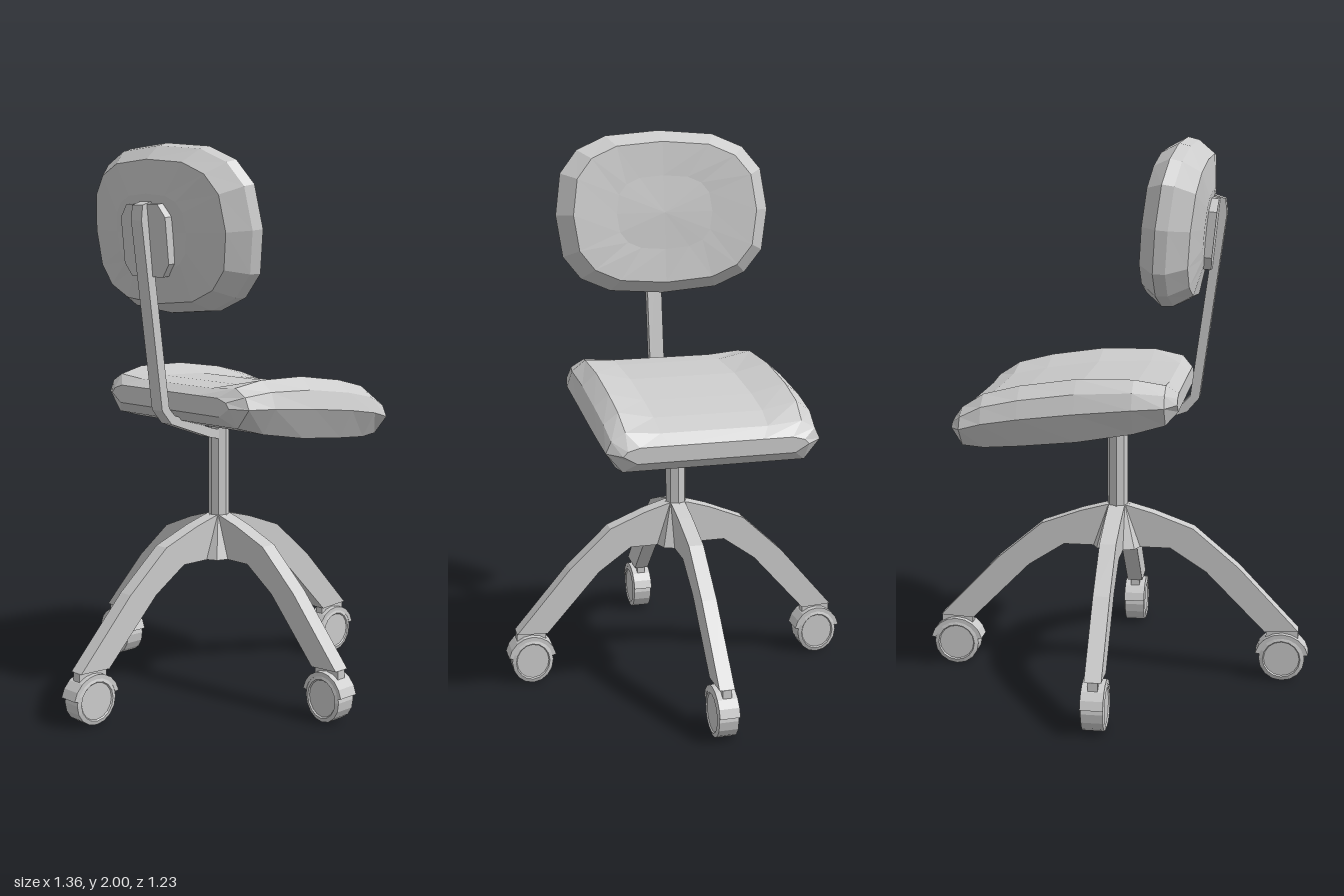
import * as THREE from 'three';

const material = new THREE.MeshStandardMaterial({ color: 0xcccccc, flatShading: true });

function add(parent, name, geometry, x = 0, y = 0, z = 0) {
  const mesh = new THREE.Mesh(geometry, material);
  mesh.name = name;
  mesh.position.set(x, y, z);
  parent.add(mesh);
  return mesh;
}

// Outline in x/y, given a thickness centred on z = 0
function slab(points, width) {
  const shape = new THREE.Shape(points.map(([x, y]) => new THREE.Vector2(x, y)));
  const geometry = new THREE.ExtrudeGeometry(shape, { depth: width, bevelEnabled: false });
  return geometry.translate(0, 0, -width / 2);
}

// Skin over equal-length closed cross-sections, each end closed by a fan
function loft(sections) {
  const n = sections[0].length;
  const points = sections.flat();
  const last = points.length - n;
  const centre = (s) => [0, 1, 2].map((k) => s.reduce((sum, p) => sum + p[k], 0) / n);
  const start = points.push(centre(sections[0])) - 1;
  const end = points.push(centre(sections[sections.length - 1])) - 1;
  const index = [];
  for (let i = 0; i < n; i++) {
    const j = (i + 1) % n;
    for (let r = 0; r < last; r += n) {
      index.push(r + i, r + n + i, r + j, r + j, r + n + i, r + n + j);
    }
    index.push(start, i, j, end, last + j, last + i);
  }
  const geometry = new THREE.BufferGeometry();
  geometry.setAttribute('position', new THREE.Float32BufferAttribute(points.flat(), 3));
  geometry.setIndex(index);
  geometry.computeVertexNormals();
  return geometry;
}

// Backrest pad: rounded rings [height, scale] stacked along y, wrapped forward at both sides
function backCushion(halfX, halfZ, bend, rings, segments = 16) {
  const round = (v) => Math.sign(v) * Math.abs(v) ** (2 / 2.8);
  return loft(rings.map(([height, scale]) => Array.from({ length: segments }, (_, i) => {
    const a = (i / segments) * Math.PI * 2;
    const z = scale * round(Math.sin(a));
    return [halfX * scale * round(Math.cos(a)), height + bend * z * z, halfZ * z];
  })));
}

// Seat pad: stations [x, half width, top, bottom, dip] from rear to front, with raised sides
function seatCushion(stations) {
  return loft(stations.map(([x, w, top, bottom, dip]) => {
    const mid = (top + bottom) / 2;
    const half = [[0.85, bottom], [1, mid], [0.95, mid + (top - mid) * 0.6], [0.82, top], [0.5, top - dip]];
    return [
      ...half.map(([s, y]) => [x, y, s * w]),
      ...half.map(([s, y]) => [x, y, -s * w]).reverse(),
    ];
  }));
}

// Bent flat bar of constant thickness following a path in x/y
function bar(path, thickness, width) {
  const sides = [[], []];
  path.forEach(([x, y], i) => {
    const a = path[Math.max(i - 1, 0)], b = path[Math.min(i + 1, path.length - 1)];
    const dx = b[0] - a[0], dy = b[1] - a[1];
    const k = thickness / 2 / Math.hypot(dx, dy);
    sides[0].push([x - dy * k, y + dx * k]);
    sides[1].unshift([x + dy * k, y - dx * k]);
  });
  return slab([...sides[0], ...sides[1]], width);
}

function createCaster() {
  const caster = new THREE.Group();
  caster.name = 'caster';
  add(caster, 'casterStem', new THREE.BoxGeometry(0.12, 0.035, 0.035), 0, 0.178, 0);

  // Wheel with slightly recessed side faces
  const profile = [[0, -0.038], [0.066, -0.038], [0.07, -0.043], [0.085, -0.038],
    [0.085, 0.038], [0.07, 0.043], [0.066, 0.038], [0, 0.038]];
  const wheel = new THREE.LatheGeometry(profile.map(([r, y]) => new THREE.Vector2(r, y)), 16);
  add(caster, 'casterWheel', wheel.rotateX(Math.PI / 2), 0, 0.09, 0);

  // Arched hood over the wheel
  const arch = [];
  for (let i = 0; i <= 8; i++) {
    const a = 0.2 + (i / 8) * (Math.PI - 0.4);
    arch.push([Math.cos(a) * 0.1, Math.sin(a) * 0.095]);
  }
  const inner = arch.map(([x, y]) => [x * 0.84, y * 0.84]).reverse();
  add(caster, 'casterHood', slab([...arch, ...inner], 0.08), 0, 0.09, 0);
  return caster;
}

export function createModel() {
  const chair = new THREE.Group();
  chair.name = 'swivelChair';

  const body = new THREE.Group();
  body.name = 'chairBody';
  body.rotation.y = 0.375;
  chair.add(body);

  // Four-legged base, slightly shorter sideways
  const base = new THREE.Group();
  base.name = 'base';
  base.scale.z = 0.9;
  body.add(base);
  const legOutline = [[0, 0.5], [0.2, 0.5], [0.335, 0.413], [0.555, 0.19], [0.68, 0.196],
    [0.455, 0.434], [0.285, 0.577], [0.135, 0.632], [0.04, 0.658], [0, 0.658]];
  for (let i = 0; i < 4; i++) {
    const arm = new THREE.Group();
    arm.name = 'legWithCaster';
    arm.rotation.y = (i * Math.PI) / 2;
    add(arm, 'leg', slab(legOutline, 0.06));
    const caster = createCaster();
    caster.position.x = 0.62;
    arm.add(caster);
    base.add(arm);
  }
  add(base, 'hub', new THREE.CylinderGeometry(0.045, 0.1, 0.157, 8), 0, 0.579, 0);

  add(body, 'column', new THREE.CylinderGeometry(0.038, 0.038, 0.36, 8), 0, 0.82, 0);

  // Seat, sloping down to the front
  add(body, 'seat', seatCushion([
    [-0.25, 0.308, 1.135, 1.07, 0],
    [-0.21, 0.366, 1.17, 1.03, 0.01],
    [-0.1, 0.385, 1.19, 1.0, 0.025],
    [0.1, 0.387, 1.187, 0.965, 0.03],
    [0.3, 0.387, 1.158, 0.945, 0.03],
    [0.43, 0.383, 1.125, 0.935, 0.025],
    [0.508, 0.374, 1.075, 0.94, 0.01],
    [0.545, 0.323, 1.03, 0.975, 0],
  ]));

  // Backrest, leaning back
  const backRings = [[-0.1, 0.45], [-0.085, 0.84], [-0.025, 0.98], [0.015, 1], [0.078, 0.86], [0.078, 0.45]];
  const back = add(body, 'backrest', backCushion(0.297, 0.4, 0.04, backRings), -0.235, 1.705, 0);
  back.rotation.z = -Math.PI / 2 + 0.1;

  // Bent support bar and the plate that holds the backrest
  const supportPath = [[0, 0.955], [-0.06, 0.968], [-0.25, 1.035], [-0.285, 1.075],
    [-0.375, 1.74], [-0.372, 1.78], [-0.345, 1.785]];
  add(body, 'backSupport', bar(supportPath, 0.034, 0.055));
  const plateOutline = [[-0.08, -0.125], [0.08, -0.125], [0.115, -0.08], [0.115, 0.08],
    [0.08, 0.125], [-0.08, 0.125], [-0.115, 0.08], [-0.115, -0.08]];
  const plate = add(body, 'backPlate', slab(plateOutline, 0.04), -0.335, 1.67, 0);
  plate.rotation.set(0, Math.PI / 2, 0.1, 'ZYX');

  return chair;
}
